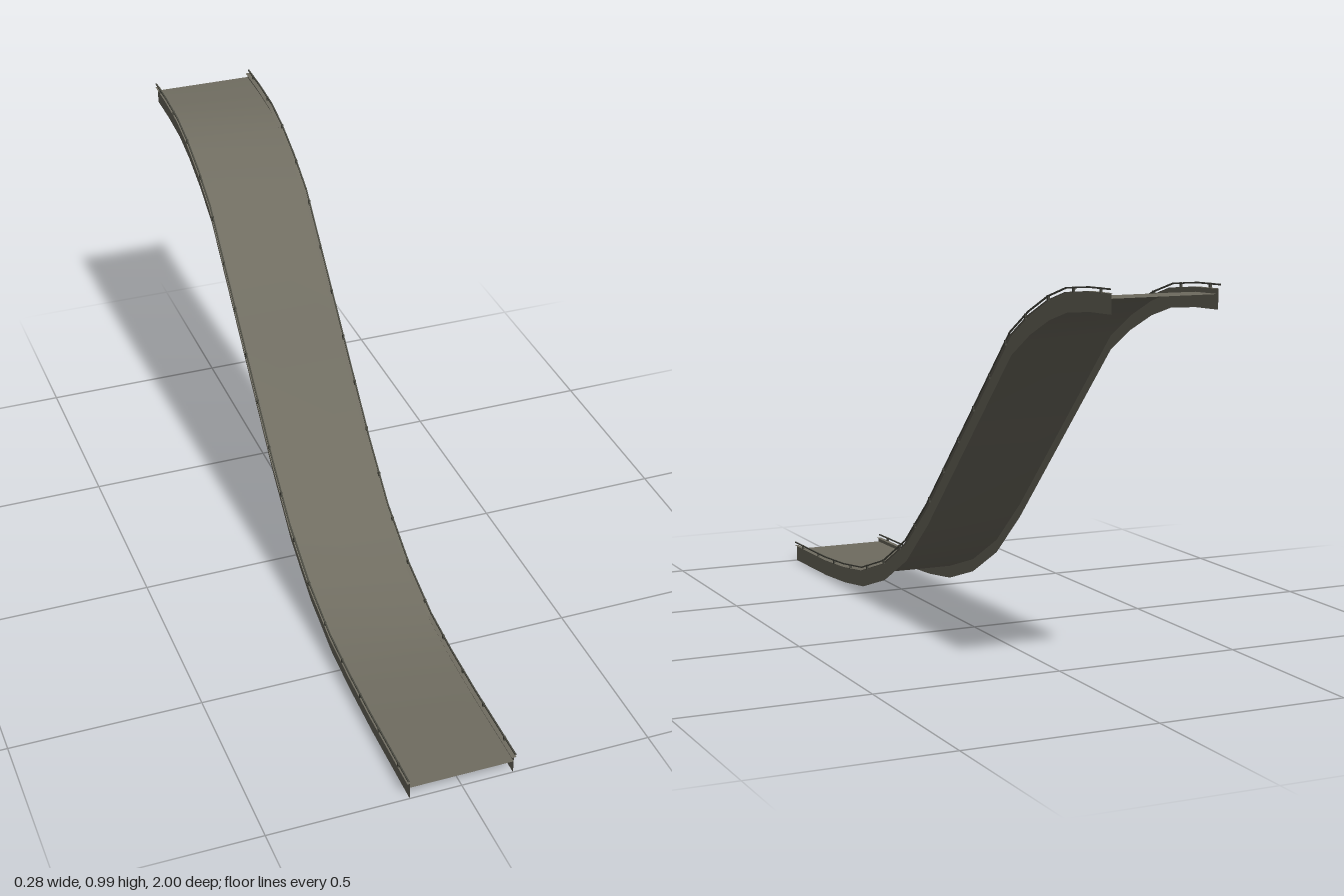
import * as THREE from 'three';

// Underside of the side walls as [z, y], from the low front end to the high back end
const PATH = [
  [1, 0], [0.75, 0.003], [0.6, 0.012], [0.46, 0.029], [0.3, 0.08], [0.145, 0.165],
  [0, 0.29], [-0.25, 0.542], [-0.5, 0.794], [-0.6, 0.853], [-0.7, 0.897],
  [-0.79, 0.923], [-0.9, 0.934], [-1, 0.937],
];
const FLOOR = 0.035, WALL = 0.047, RAIL = 0.056, HALF = 0.135;

// Sweep an open section of [x, height] points along the path
function sweep(section, smooth) {
  const pos = [], index = [], n = section.length;
  for (const [z, y] of PATH) for (const [x, h] of section) pos.push(x, y + h, z);
  for (let i = 0; i < PATH.length - 1; i++) {
    for (let j = 0; j < n - 1; j++) {
      const a = i * n + j, b = a + n;
      index.push(a, a + 1, b, a + 1, b + 1, b);
    }
  }
  let geo = new THREE.BufferGeometry();
  geo.setAttribute('position', new THREE.Float32BufferAttribute(pos, 3));
  geo.setIndex(index);
  if (!smooth) geo = geo.toNonIndexed();
  geo.computeVertexNormals();
  return geo;
}

// Points along the path at an even spacing
function evenPoints(step) {
  const points = [];
  let next = step / 2, run = 0;
  for (let i = 0; i < PATH.length - 1; i++) {
    const [z0, y0] = PATH[i], [z1, y1] = PATH[i + 1];
    const len = Math.hypot(z1 - z0, y1 - y0);
    for (; next < run + len; next += step) {
      const t = (next - run) / len;
      points.push([z0 + (z1 - z0) * t, y0 + (y1 - y0) * t]);
    }
    run += len;
  }
  return points;
}

export function createModel() {
  const group = new THREE.Group();
  const steel = new THREE.MeshStandardMaterial({ color: 0x6f6c60, side: THREE.DoubleSide });
  steel.name = 'dull steel';
  const dark = new THREE.MeshStandardMaterial({ color: 0x4b4b42, side: THREE.DoubleSide });
  dark.name = 'dark steel';
  const add = (name, geo, mat) => {
    const mesh = new THREE.Mesh(geo, mat);
    mesh.name = name;
    group.add(mesh);
    return mesh;
  };

  // Curved sheet floor
  add('floor', sweep([[-HALF, FLOOR], [HALF, FLOOR]], true), steel);

  const postGeo = new THREE.BoxGeometry(0.005, RAIL - WALL + 0.004, 0.006);
  for (const s of [1, -1]) {
    const side = s > 0 ? 'left' : 'right';
    // Thin side wall with a narrow folded lip
    add(side + 'Wall', sweep([[s * HALF, 0], [s * HALF, WALL]]), steel);
    add(side + 'Lip', sweep([[s * 0.13, WALL], [s * 0.142, WALL]]), steel);
    // Slim rail carried on short posts
    const x = s * 0.139, r = 0.0018;
    add(side + 'Rail', sweep([[x - r, RAIL - r], [x + r, RAIL - r], [x + r, RAIL + r],
      [x - r, RAIL + r], [x - r, RAIL - r]]), dark);
    for (const [z, y] of evenPoints(0.13)) {
      add(side + 'RailPost', postGeo, dark).position.set(x, y + (WALL + RAIL) / 2, z);
    }
  }
  return group;
}
